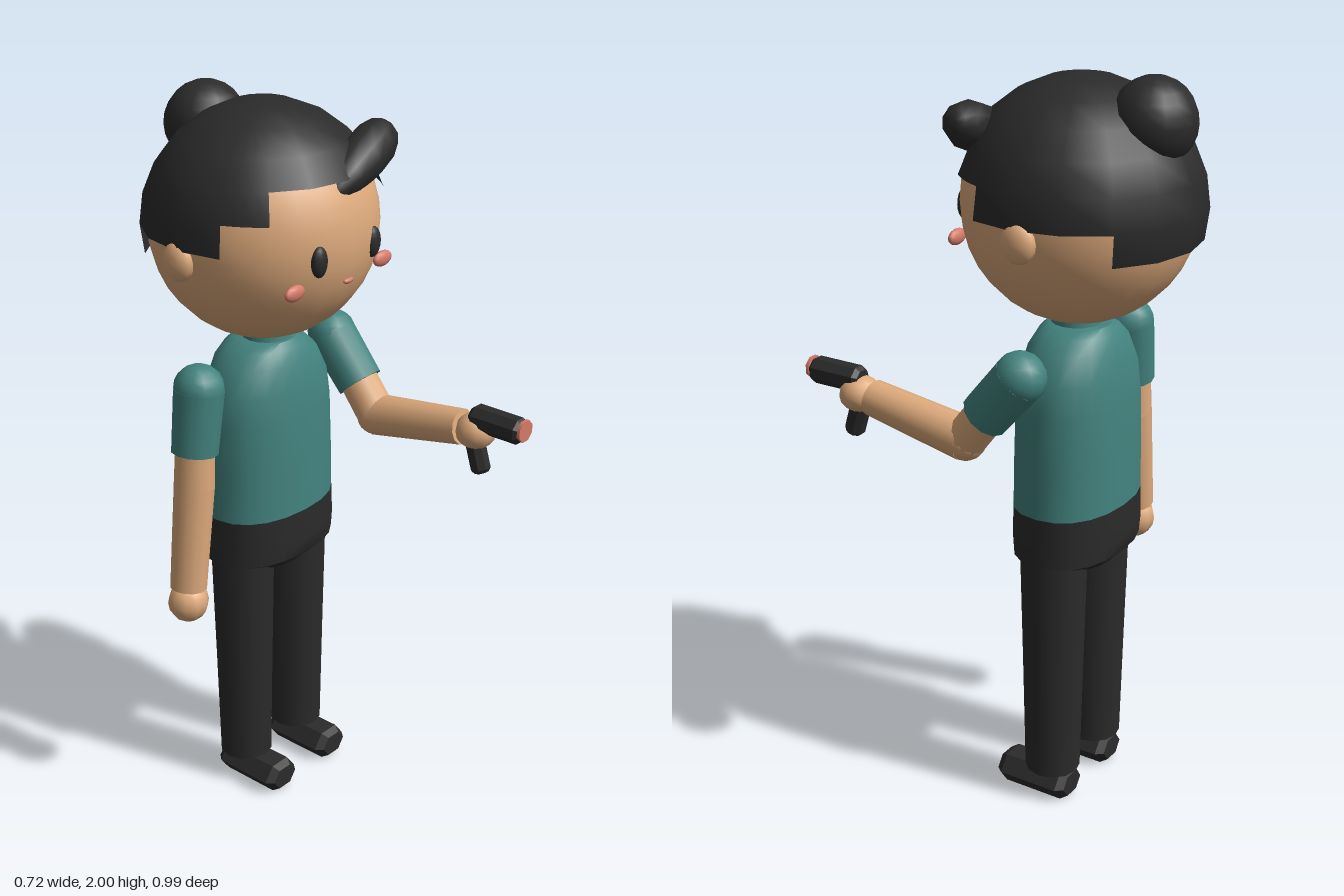
import * as THREE from 'three';
import { mergeVertices, toCreasedNormals } from 'three/addons/utils/BufferGeometryUtils.js';

const CX = 0.022, CZ = -0.177, HEAD_Y = 1.665; // body axis and head centre
const V = (x, y, z) => new THREE.Vector3(x, y, z);
const rad = THREE.MathUtils.degToRad;

export function createModel() {
  const model = new THREE.Group();
  const material = (name, color, side = THREE.FrontSide) => {
    const m = new THREE.MeshStandardMaterial({ color, side });
    m.name = name;
    return m;
  };
  const skin = material('skin', 0xdeaa7c);
  const teal = material('teal cloth', 0x43837f, THREE.DoubleSide);
  const black = material('black', 0x2b2b2b, THREE.DoubleSide);
  const pink = material('coral pink', 0xd77b6a);

  const add = (name, geo, mat, parent = model) => {
    const mesh = new THREE.Mesh(geo, mat);
    mesh.name = name;
    parent.add(mesh);
    return mesh;
  };

  const ellipsoid = (name, mat, pos, scale, w = 16, h = 12) => {
    const mesh = add(name, new THREE.SphereGeometry(1, w, h), mat);
    mesh.position.copy(pos);
    mesh.scale.copy(scale);
    return mesh;
  };

  // Tapered cylinder running from a to b
  const limb = (name, mat, a, b, ra, rb, sides = 12) => {
    const d = b.clone().sub(a);
    const mesh = add(name, new THREE.CylinderGeometry(rb, ra, d.length(), sides), mat);
    mesh.position.copy(a).addScaledVector(d, 0.5);
    mesh.quaternion.setFromUnitVectors(V(0, 1, 0), d.normalize());
    return mesh;
  };

  // Closed body from rounded cross-sections [y, halfWidth, halfDepth], bottom to top
  const loft = (name, mat, rows, power = 0.88) => {
    const geo = new THREE.CylinderGeometry(1, 1, 1, 20, rows.length - 1);
    const p = geo.attributes.position;
    const bend = v => Math.sign(v) * Math.abs(v) ** power;
    for (let i = 0; i < p.count; i++) {
      const [y, w, d] = rows[Math.round((p.getY(i) + 0.5) * (rows.length - 1))];
      p.setXYZ(i, CX + bend(p.getX(i)) * w, y, CZ + bend(p.getZ(i)) * d);
    }
    geo.deleteAttribute('uv');
    geo.deleteAttribute('normal');
    return add(name, toCreasedNormals(mergeVertices(geo, 1e-4), rad(42)), mat);
  };

  // Bar with chamfered ends along its own y axis
  const bevelBar = (name, mat, radius, length, sides, bevel) => {
    const h = length / 2;
    const profile = [[0, -h], [radius * 0.72, -h], [radius, -h + bevel], [radius, h - bevel], [radius * 0.72, h], [0, h]];
    const geo = new THREE.LatheGeometry(profile.map(q => new THREE.Vector2(...q)), sides);
    return add(name, toCreasedNormals(geo, rad(20)), mat);
  };

  // Head and ears
  ellipsoid('head', skin, V(CX, HEAD_Y, CZ), V(0.305, 0.305, 0.302), 24, 18);
  for (const s of [-1, 1]) ellipsoid('ear', skin, V(CX + s * 0.303, 1.632, -0.188), V(0.033, 0.053, 0.047), 10, 8);

  // Hair cap: sphere sectors cut to stepped lengths, angles measured from the front
  const sectors = [[-45, 45, 60], [45, 67.5, 75], [67.5, 135, 90], [135, 225, 105], [225, 292.5, 90], [292.5, 315, 75]];
  const hair = new THREE.Group();
  hair.name = 'hair';
  hair.position.set(CX, HEAD_Y, CZ);
  model.add(hair);
  for (const [from, to, drop] of sectors) {
    const geo = new THREE.SphereGeometry(0.321, Math.round((to - from) / 22.5), drop / 15,
      rad(from + 90), rad(to - from), 0, rad(drop));
    add('hairPanel', geo, black, hair);
  }
  ellipsoid('hairBun', black, V(CX, 1.888, -0.377), V(0.113, 0.112, 0.108));

  // Swept fringe, a tapered blunt lock
  const lock = [[0, 0], [0.03, 0.03], [0.05, 0.09], [0.063, 0.17], [0.062, 0.24], [0.048, 0.29], [0.025, 0.315], [0, 0.318]];
  const fringe = add('fringe', new THREE.LatheGeometry(lock.map(q => new THREE.Vector2(...q)), 10), black);
  fringe.position.set(-0.015, 1.785, 0.075);
  fringe.quaternion.setFromUnitVectors(V(0, 1, 0), V(0.29, 0.105, -0.055).normalize());

  // Face
  for (const s of [-1, 1]) {
    ellipsoid('eye', black, V(CX + s * 0.104, 1.643, 0.102), V(0.026, 0.041, 0.017), 12, 10);
    ellipsoid('cheek', pink, V(CX + s * 0.172, 1.575, 0.08), V(0.036, 0.021, 0.013), 12, 8);
  }
  ellipsoid('mouth', pink, V(CX, 1.569, 0.109), V(0.02, 0.008, 0.008), 10, 6);

  // Shirt, collar and hips
  loft('shirt', teal, [[0.87, 0.206, 0.143], [1.0, 0.204, 0.141], [1.15, 0.2, 0.137], [1.23, 0.189, 0.13],
    [1.3, 0.153, 0.115], [1.335, 0.115, 0.098], [1.352, 0.08, 0.083]]);
  limb('collar', teal, V(CX, 1.32, CZ + 0.007), V(CX, 1.385, CZ + 0.007), 0.072, 0.064, 16);
  loft('hips', black, [[0.695, 0.115, 0.1], [0.735, 0.208, 0.14], [0.78, 0.21, 0.144], [0.87, 0.206, 0.143]]);

  // Legs and shoes
  for (const s of [-1, 1]) {
    const x = CX + s * 0.109;
    limb('thigh', black, V(x, 0.42, -0.172), V(x, 0.76, -0.172), 0.082, 0.09);
    limb('shin', black, V(x, 0.085, -0.172), V(x, 0.42, -0.172), 0.075, 0.082);
    const shoe = bevelBar('shoe', black, 0.062, 0.215, 6, 0.02);
    shoe.geometry.rotateY(Math.PI / 2);
    shoe.geometry.rotateX(Math.PI / 2);
    shoe.geometry.scale(1, 0.78, 1);
    shoe.geometry.computeBoundingBox();
    shoe.position.set(x, -shoe.geometry.boundingBox.min.y, -0.128);
  }

  // Right arm hanging
  const rs = V(-0.24, 1.275, -0.172), re = V(-0.262, 1.105, -0.172);
  ellipsoid('shoulder', teal, rs, V(0.069, 0.069, 0.069), 12, 10);
  limb('sleeve', teal, rs, re, 0.069, 0.064);
  limb('upperArm', skin, V(-0.26, 1.12, -0.172), V(-0.268, 1.01, -0.172), 0.054, 0.056);
  limb('forearm', skin, V(-0.268, 1.01, -0.172), V(-0.302, 0.715, -0.172), 0.056, 0.051);
  ellipsoid('hand', skin, V(-0.304, 0.671, -0.172), V(0.057, 0.058, 0.055), 10, 8);

  // Left arm reaching forward
  const ls = V(0.284, 1.275, -0.165), le = V(0.284, 1.155, -0.062), elbow = V(0.284, 1.076, 0.0);
  ellipsoid('shoulder', teal, ls, V(0.069, 0.069, 0.069), 12, 10);
  limb('sleeve', teal, ls, le, 0.069, 0.066);
  limb('upperArm', skin, V(0.284, 1.165, -0.07), elbow, 0.055, 0.056);
  ellipsoid('elbow', skin, elbow, V(0.057, 0.057, 0.057), 12, 10);
  limb('forearm', skin, elbow, V(0.284, 1.127, 0.295), 0.058, 0.049);
  ellipsoid('hand', skin, V(0.284, 1.13, 0.337), V(0.057, 0.05, 0.056), 10, 8);

  // Pistol
  const slide = bevelBar('pistolSlide', black, 0.037, 0.16, 8, 0.012);
  slide.geometry.rotateY(Math.PI / 8);
  slide.rotation.x = Math.PI / 2;
  slide.position.set(0.284, 1.169, 0.407);
  const grip = bevelBar('pistolGrip', black, 0.028, 0.13, 8, 0.01);
  grip.geometry.rotateY(Math.PI / 8);
  grip.position.set(0.284, 1.076, 0.342);
  grip.rotation.x = -0.3;
  const muzzle = add('muzzle', new THREE.CylinderGeometry(0.031, 0.031, 0.009, 8), pink);
  muzzle.geometry.rotateY(Math.PI / 8);
  muzzle.rotation.x = Math.PI / 2;
  muzzle.position.set(0.284, 1.174, 0.49);

  return model;
}
